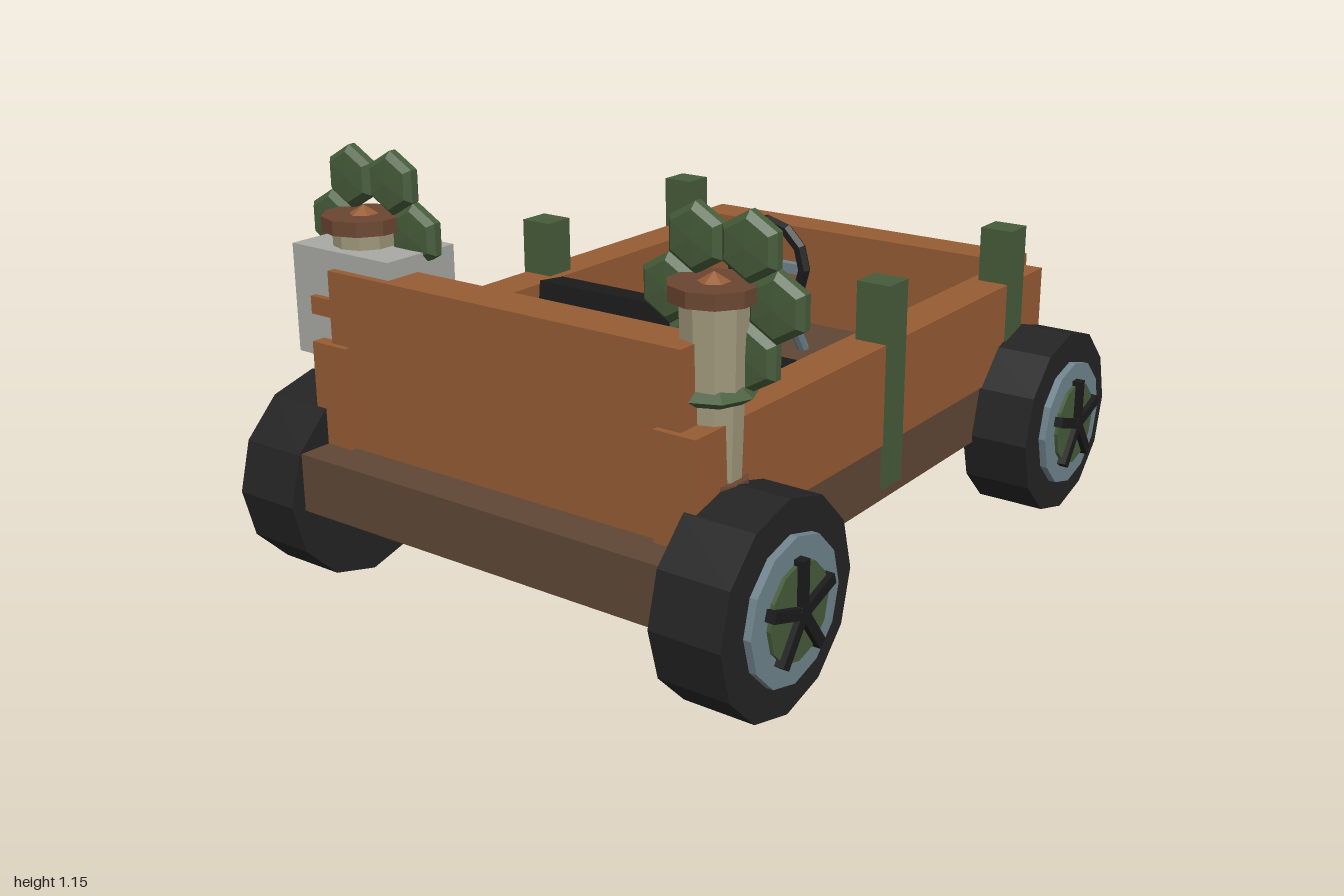
import * as THREE from 'three';

const mat = (name, color) => {
  const m = new THREE.MeshStandardMaterial({ color, flatShading: true });
  m.name = name;
  return m;
};

export function createModel() {
  const wood = mat('orange wood', 0x965c34);
  const brown = mat('dark brown wood', 0x5f4735);
  const cap = mat('red brown', 0x6b4631);
  const green = mat('green', 0x465c3a);
  const cream = mat('cream stone', 0xa0987b);
  const grey = mat('light grey', 0xa8aaa5);
  const steel = mat('blue grey', 0x70848e);
  const rubber = mat('tyre black', 0x242424);
  const black = mat('black', 0x1b1b1b);

  const model = new THREE.Group();
  model.name = 'buggy';

  const add = (parent, name, geometry, material, x = 0, y = 0, z = 0) => {
    const mesh = new THREE.Mesh(geometry, material);
    mesh.name = name;
    mesh.position.set(x, y, z);
    parent.add(mesh);
    return mesh;
  };
  // Box given by its limits on each axis
  const box = (parent, name, material, [x0, x1], [y0, y1], [z0, z1]) =>
    add(parent, name, new THREE.BoxGeometry(x1 - x0, y1 - y0, z1 - z0), material,
      (x0 + x1) / 2, (y0 + y1) / 2, (z0 + z1) / 2);
  const group = (name, x = 0, y = 0, z = 0) => {
    const g = new THREE.Group();
    g.name = name;
    g.position.set(x, y, z);
    model.add(g);
    return g;
  };

  // Chassis and open body
  box(model, 'chassis', brown, [-0.595, 0.595], [0.245, 0.4], [-0.965, 0.957]);
  for (const s of [-1, 1]) {
    const wall = box(model, 'sideWall', wood, [0.483, 0.6], [0.4, 0.67], [-0.865, 0.865]);
    wall.position.x *= s;
    for (const z of [0.002, -0.682]) {
      const post = box(model, 'post', green, [0.51, 0.606], [0.28, 0.825], [z - 0.046, z + 0.046]);
      post.position.x *= s;
    }
  }
  box(model, 'highEndWall', wood, [-0.547, 0.547], [0.4, 0.86], [0.725, 0.848]);
  box(model, 'lowEndWall', wood, [-0.547, 0.547], [0.4, 0.705], [-0.87, -0.748]);
  box(model, 'latchPeg', wood, [-0.62, -0.5], [0.735, 0.782], [0.826, 0.844]);

  // Floor slats behind the seat
  for (let i = -2; i <= 2; i++) {
    const x = i * 0.197;
    box(model, 'floorSlat', brown, [x - 0.083, x + 0.083], [0.4, 0.415], [0.4, 0.725]);
  }

  // Seat with leaning back rest
  box(model, 'seatCushion', black, [-0.237, 0.237], [0.4, 0.52], [-0.105, 0.4]);
  const back = group('seatBack', 0, 0.615, 0.375);
  back.rotation.x = -0.11;
  box(back, 'backRest', black, [-0.237, 0.237], [-0.165, 0.165], [-0.046, 0.046]);
  box(back, 'backPad', cap, [-0.175, 0.175], [-0.09, 0.135], [-0.064, -0.046]);

  // Steering wheel, cross bar and column
  const steering = group('steering', 0, 0.71, -0.315);
  add(steering, 'steeringWheel', new THREE.TorusGeometry(0.124, 0.019, 6, 12), black);
  box(steering, 'crossBar', steel, [-0.115, 0.115], [-0.015, 0.015], [-0.012, 0.012]);
  const from = new THREE.Vector3(0, 0, 0);
  const to = new THREE.Vector3(0, -0.31, -0.2);
  const column = add(steering, 'steeringColumn', new THREE.CylinderGeometry(0.018, 0.018, from.distanceTo(to), 8), steel);
  column.position.copy(to).multiplyScalar(0.5);
  column.quaternion.setFromUnitVectors(new THREE.Vector3(0, 1, 0), to.clone().negate().normalize());

  // Wheels: stacked discs along x with five spokes
  const disc = (r, x0, x1) => new THREE.CylinderGeometry(r, r, x1 - x0, 12)
    .rotateZ(Math.PI / 2).translate((x0 + x1) / 2, 0, 0);
  for (const s of [-1, 1]) {
    for (const z of [-0.735, 0.735]) {
      const wheel = group('wheel', 0, 0.265, z);
      if (s < 0) wheel.rotation.y = Math.PI;
      add(wheel, 'tyre', disc(0.265, 0.567, 0.76), rubber);
      add(wheel, 'rim', disc(0.18, 0.74, 0.78), steel);
      add(wheel, 'hubPlate', disc(0.12, 0.76, 0.79), green);
      add(wheel, 'hubCap', disc(0.025, 0.78, 0.806), black);
      for (let i = 0; i < 5; i++) {
        const spoke = new THREE.BoxGeometry(0.026, 0.13, 0.028)
          .translate(0.792, 0.065, 0).rotateX(i * Math.PI * 2 / 5);
        add(wheel, 'spoke', spoke, black);
      }
    }
  }

  // Stone torches crowned by a ring of six bevelled leaves
  const leaf = new THREE.LatheGeometry(
    [[0, -0.03], [0.066, -0.026], [0.083, -0.01], [0.083, 0.01], [0.066, 0.026], [0, 0.03]]
      .map(([r, y]) => new THREE.Vector2(r, y)), 6).rotateX(Math.PI / 2);
  const drum = (rTop, rBottom, y0, y1) =>
    new THREE.CylinderGeometry(rTop, rBottom, y1 - y0, 10).translate(0, (y0 + y1) / 2, 0);
  for (const s of [-1, 1]) {
    const torch = group('torch', s * 0.543, 0, 0.718);
    add(torch, 'base', drum(0.083, 0.083, 0.49, 0.53), cap);
    add(torch, 'lowerShaft', drum(0.072, 0.066, 0.53, 0.73), cream);
    add(torch, 'shaftRing', new THREE.CylinderGeometry(0.075, 0.105, 0.02, 8), green, 0, 0.742);
    add(torch, 'shaftRingUnderside', new THREE.CylinderGeometry(0.105, 0.075, 0.02, 8), green, 0, 0.722);
    add(torch, 'upperShaft', drum(0.082, 0.078, 0.74, 0.95), cream);
    add(torch, 'collar', drum(0.108, 0.108, 0.945, 0.983), cap);
    add(torch, 'tip', new THREE.ConeGeometry(0.042, 0.025, 6), wood, 0, 0.993);
    for (let i = 0; i < 6; i++) {
      const a = i * Math.PI / 3;
      add(torch, 'leaf', leaf, green, 0.145 * Math.cos(a), 0.938 + 0.145 * Math.sin(a), -0.04);
    }
  }

  // Grey crate around one torch
  box(model, 'crate', grey, [-0.695, -0.355], [0.618, 0.905], [0.595, 0.826]);

  return model;
}
